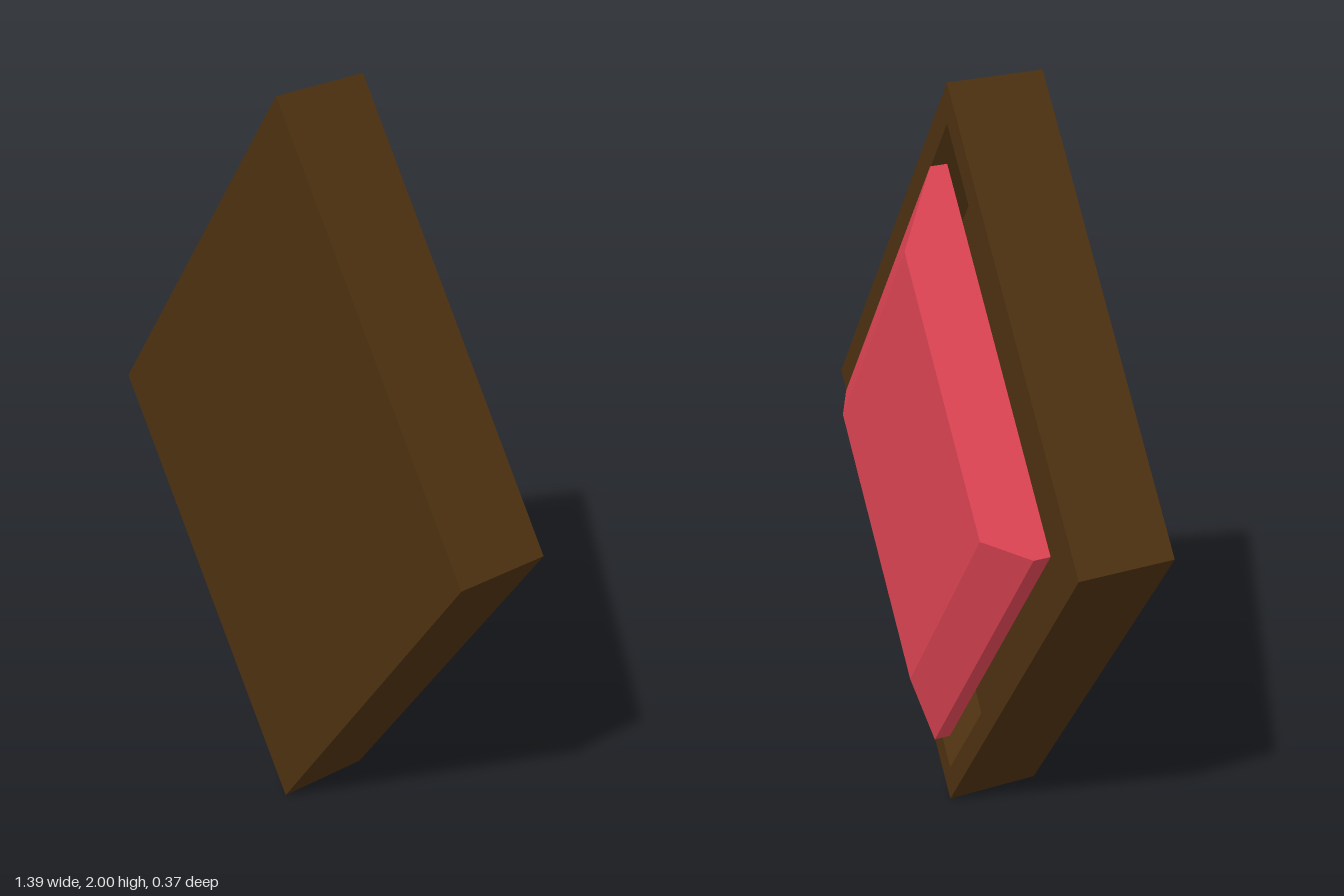
import * as THREE from 'three';

const HALF_WIDTH = 0.695;
const HALF_HEIGHT = 1;

// Joins diamond cross-sections [scale, z], listed from the front round to the back
function diamondLoft(name, color, sections) {
  const corners = [[1, 0], [0, 1], [-1, 0], [0, -1]];
  const point = ([scale, z], j) => {
    const [x, y] = corners[j % 4];
    return [x * scale * HALF_WIDTH, 1 + y * scale * HALF_HEIGHT, z];
  };
  const positions = [];
  for (let i = 0; i < sections.length - 1; i++) {
    const front = sections[i], back = sections[i + 1];
    for (let j = 0; j < 4; j++) {
      const a = point(front, j), b = point(front, j + 1);
      const c = point(back, j + 1), d = point(back, j);
      if (back[0] > 0) positions.push(...a, ...d, ...c);
      if (front[0] > 0) positions.push(...a, ...c, ...b);
    }
  }
  const geometry = new THREE.BufferGeometry();
  geometry.setAttribute('position', new THREE.Float32BufferAttribute(positions, 3));
  geometry.computeVertexNormals();
  const mesh = new THREE.Mesh(geometry, new THREE.MeshStandardMaterial({ color, flatShading: true }));
  mesh.name = name;
  return mesh;
}

export function createModel() {
  const group = new THREE.Group();
  group.name = 'diamondPlaque';

  // Solid frame with a flat rim and a sloped recess on its back
  group.add(diamondLoft('frame', 0x4d3110, [
    [0, 0.185], [1, 0.185], [1, -0.07], [0.9, -0.07], [0.78, 0.03], [0, 0.03],
  ]));

  // Bevelled gem standing proud of the recess
  group.add(diamondLoft('gem', 0xe04555, [
    [0, -0.07], [0.8, -0.07], [0.8, -0.115], [0.595, -0.185], [0, -0.185],
  ]));

  return group;
}
